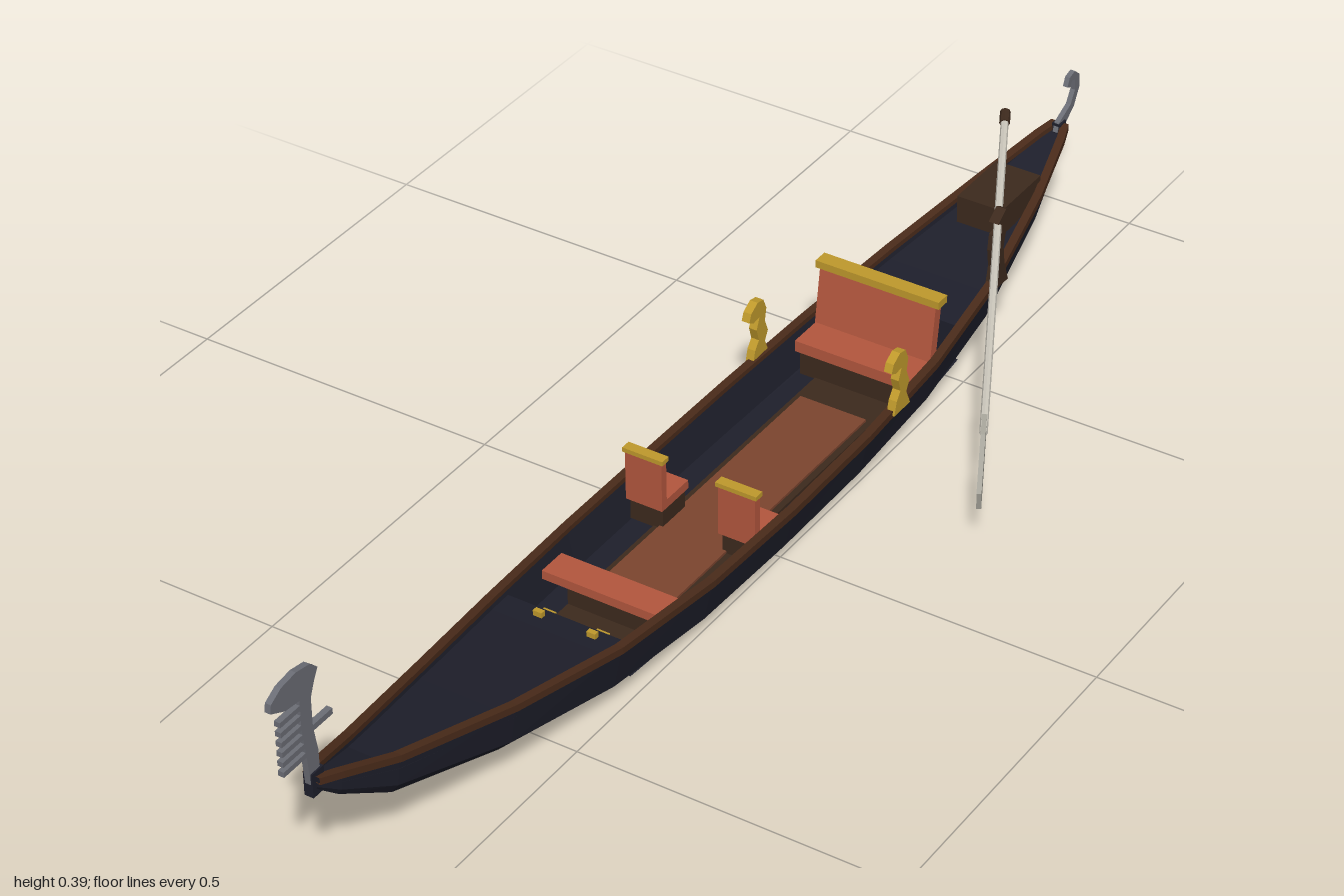
import * as THREE from 'three';

const mat = (name, color, double = false) => {
  const m = new THREE.MeshStandardMaterial({ color, flatShading: true });
  m.name = name;
  if (double) m.side = THREE.DoubleSide;
  return m;
};

// Hull stations: z, half width, gunwale height, bottom height
const STATIONS = [
  [-0.95, 0.012, 0.172, 0.155], [-0.92, 0.022, 0.166, 0.14], [-0.8, 0.052, 0.142, 0.085],
  [-0.6, 0.09, 0.113, 0.03], [-0.4, 0.112, 0.097, 0.007], [-0.2, 0.121, 0.091, 0],
  [0, 0.123, 0.09, 0], [0.2, 0.12, 0.094, 0.002], [0.4, 0.106, 0.107, 0.015],
  [0.6, 0.078, 0.135, 0.05], [0.8, 0.042, 0.175, 0.11], [0.89, 0.021, 0.203, 0.165],
  [0.925, 0.01, 0.211, 0.195],
];
const CX = -0.1, FLOOR = 0.028;

function station(z) {
  let i = 0;
  while (i < STATIONS.length - 2 && z > STATIONS[i + 1][0]) i++;
  const a = STATIONS[i], b = STATIONS[i + 1], t = (z - a[0]) / (b[0] - a[0]);
  const [w, g, k] = [1, 2, 3].map((j) => a[j] + (b[j] - a[j]) * t);
  return { w, g, k };
}

// Station positions between two ends
const zRange = (z0, z1) => [z0, ...STATIONS.map((s) => s[0]).filter((z) => z > z0 + 0.001 && z < z1 - 0.001), z1];

// Skin through cross-sections given by section(station) -> [[x, y], ...]
function loft(zs, section, closed = false) {
  const pos = [], index = [];
  let n = 0;
  zs.forEach((z) => {
    const pts = section(station(z));
    n = pts.length;
    pts.forEach(([x, y]) => pos.push(CX + x, y, z));
  });
  for (let i = 0; i < zs.length - 1; i++) {
    for (let j = 0; j < (closed ? n : n - 1); j++) {
      const a = i * n + j, b = i * n + ((j + 1) % n);
      index.push(a, b, a + n, b, b + n, a + n);
    }
  }
  const geo = new THREE.BufferGeometry();
  geo.setAttribute('position', new THREE.Float32BufferAttribute(pos, 3));
  geo.setIndex(index);
  geo.computeVertexNormals();
  return geo;
}

// Flat plate cut from a (z, y) outline, centred on x
function plate(points, thick, x = 0) {
  const shape = new THREE.Shape(points.map(([z, y]) => new THREE.Vector2(z, y)));
  const geo = new THREE.ExtrudeGeometry(shape, { depth: thick, bevelEnabled: false });
  return geo.rotateY(-Math.PI / 2).translate(x + thick / 2, 0, 0);
}

// Box from its limits
const box = (x0, x1, y0, y1, z0, z1) =>
  new THREE.BoxGeometry(x1 - x0, y1 - y0, z1 - z0).translate((x0 + x1) / 2, (y0 + y1) / 2, (z0 + z1) / 2);

export function createModel() {
  const model = new THREE.Group();
  model.name = 'rowingBoat';
  const navy = mat('hullNavy', 0x1e1f2b, true);
  const rail = mat('railBrown', 0x4a2b1a, true);
  const darkWood = mat('darkWood', 0x3d2a1d);
  const rug = mat('rugBrown', 0x7c452f);
  const coral = mat('coralUpholstery', 0xb4573e);
  const gold = mat('gold', 0xc09a2c);
  const steel = mat('steelGrey', 0x6c6e76);
  const pale = mat('paleWood', 0xc9c5ba);
  const blade = mat('bladeGrey', 0xaaa89e);
  const add = (name, geo, m, parent = model) => {
    const mesh = new THREE.Mesh(geo, m);
    mesh.name = name;
    parent.add(mesh);
    return mesh;
  };

  // Hull shell with flat bottom and chines
  const all = zRange(-0.95, 0.925);
  add('hull', loft(all, ({ w, g, k }) => {
    const c = k + 0.25 * (g - k);
    return [[-w, g], [-0.87 * w, c], [-0.6 * w, k], [0.6 * w, k], [0.87 * w, c], [w, g]];
  }), navy);
  for (const s of [-1, 1]) {
    add(s > 0 ? 'leftRail' : 'rightRail', loft(all, ({ w, g }) => {
      const a = s * Math.max(w - 0.01, 0.001), b = s * (w + 0.003);
      return [[a, g - 0.004], [a, g + 0.004], [b, g + 0.004], [b, g - 0.007]];
    }, true), rail);
  }

  // Cabin floor, end decks and bulkheads
  add('floor', loft(zRange(-0.51, 0.36), ({ w }) => [[-0.84 * w, FLOOR], [0.84 * w, FLOOR]]), navy);
  for (const [name, z0, z1, zb] of [['foredeck', 0.36, 0.92, 0.36], ['aftDeck', -0.945, -0.51, -0.51]]) {
    const drop = (g, k) => g - Math.min(0.02, 0.4 * (g - k));
    add(name, loft(zRange(z0, z1), ({ w, g, k }) => [[-0.96 * w, drop(g, k)], [0.96 * w, drop(g, k)]]), navy);
    const { w, g, k } = station(zb), y = drop(g, k);
    const shape = new THREE.Shape([[-0.8, FLOOR], [0.8, FLOOR], [0.96, y], [-0.96, y]]
      .map(([u, v]) => new THREE.Vector2(CX + u * w, v)));
    add(name + 'Bulkhead', new THREE.ShapeGeometry(shape).translate(0, 0, zb), navy);
  }
  for (const s of [-1, 1]) {
    const x = CX + s * 0.043;
    add('bulkheadHandle', box(x - 0.01, x + 0.01, 0.07, 0.078, 0.35, 0.36), gold);
    add('deckKnob', box(x - 0.007, x + 0.007, 0.084, 0.094, 0.372, 0.38), gold);
  }
  add('floorboards', box(-0.165, -0.035, FLOOR, 0.032, -0.505, 0.34), darkWood);
  add('rug', box(-0.155, -0.045, 0.032, 0.036, -0.3, 0.24), rug);

  // Rear sofa with leaning back
  const sofa = new THREE.Group();
  sofa.name = 'sofa';
  model.add(sofa);
  add('sofaBase', box(-0.19, -0.01, 0.03, 0.07, -0.425, -0.355), darkWood, sofa);
  add('sofaSeat', box(-0.196, -0.004, 0.07, 0.088, -0.42, -0.35), coral, sofa);
  add('sofaBack', plate([[-0.418, 0.06], [-0.402, 0.06], [-0.42, 0.178], [-0.436, 0.178]], 0.194, CX), coral, sofa);
  add('sofaTrim', box(-0.203, 0.003, 0.175, 0.187, -0.441, -0.417), gold, sofa);

  // Pair of side chairs facing aft
  for (const s of [-1, 1]) {
    const chair = new THREE.Group();
    chair.name = s > 0 ? 'leftChair' : 'rightChair';
    chair.position.x = CX + s * 0.076;
    model.add(chair);
    add('chairBase', box(-0.027, 0.027, 0.03, 0.066, 0.012, 0.068), darkWood, chair);
    add('chairSeat', box(-0.03, 0.03, 0.066, 0.08, 0.008, 0.07), coral, chair);
    add('chairBack', box(-0.03, 0.03, 0.066, 0.147, 0.062, 0.074), coral, chair);
    add('chairTrim', box(-0.033, 0.033, 0.146, 0.153, 0.06, 0.076), gold, chair);
  }

  // Forward bench
  add('bench', box(-0.2, 0, 0.066, 0.08, 0.24, 0.287), coral);
  add('benchSupport', box(-0.165, -0.035, 0.03, 0.066, 0.25, 0.278), darkWood);

  // Gilded horse figures on the rails
  const horse = [[-0.305, 0.09], [-0.262, 0.09], [-0.268, 0.112], [-0.278, 0.125], [-0.272, 0.145], [-0.28, 0.164],
    [-0.264, 0.162], [-0.253, 0.168], [-0.258, 0.181], [-0.275, 0.191], [-0.29, 0.188], [-0.298, 0.17],
    [-0.294, 0.15], [-0.302, 0.13], [-0.294, 0.115]];
  for (const s of [-1, 1]) add('horseFigure', plate(horse, 0.013, CX + s * 0.118), gold);

  // Bow iron: curved blade on a stem, six forward teeth and one aft
  add('bowPost', box(CX - 0.007, CX + 0.007, 0.185, 0.222, 0.908, 0.932), navy);
  add('bowIron', plate([[0.912, 0.205], [0.932, 0.205], [0.936, 0.25], [0.942, 0.3], [0.942, 0.345],
    [0.97, 0.348], [0.998, 0.362], [0.996, 0.375], [0.975, 0.387], [0.945, 0.391], [0.918, 0.386],
    [0.903, 0.372], [0.912, 0.355], [0.92, 0.335], [0.92, 0.29], [0.913, 0.25]], 0.009, CX), steel);
  for (let i = 0; i < 6; i++) {
    const y = 0.252 + i * 0.0155;
    add('bowTooth', box(CX - 0.0045, CX + 0.0045, y, y + 0.008, 0.93, 0.982), steel);
  }
  add('aftTooth', box(CX - 0.0045, CX + 0.0045, 0.283, 0.292, 0.88, 0.925), steel);

  // Curled stern iron
  add('sternIron', plate([[-0.935, 0.165], [-0.955, 0.165], [-0.985, 0.188], [-1, 0.215], [-0.998, 0.237],
    [-0.984, 0.249], [-0.968, 0.245], [-0.962, 0.231], [-0.97, 0.227], [-0.976, 0.236], [-0.984, 0.234],
    [-0.986, 0.215], [-0.974, 0.195], [-0.94, 0.18]], 0.008, CX), steel);
  add('sternPost', box(CX - 0.007, CX + 0.007, 0.152, 0.178, -0.956, -0.938), navy);

  // Rower's platform and carved oar rest
  add('rowerPlatform', box(-0.138, -0.062, 0.115, 0.16, -0.825, -0.71), darkWood);
  add('oarRest', plate([[-0.632, 0.105], [-0.592, 0.105], [-0.6, 0.14], [-0.596, 0.17], [-0.6, 0.195], [-0.612, 0.197],
    [-0.612, 0.21], [-0.598, 0.217], [-0.606, 0.222], [-0.62, 0.232], [-0.632, 0.225], [-0.624, 0.2],
    [-0.616, 0.17], [-0.62, 0.14]], 0.016, -0.013), darkWood);

  // Oar, built along local y from grip to blade tip
  const from = new THREE.Vector3(-0.117, 0.261, -0.81), to = new THREE.Vector3(0.222, 0.083, -0.16);
  const dir = to.clone().sub(from), len = dir.length();
  dir.normalize();
  const side = new THREE.Vector3().crossVectors(dir, new THREE.Vector3(0, 1, 0)).normalize();
  const oar = new THREE.Group();
  oar.name = 'oar';
  oar.quaternion.setFromRotationMatrix(
    new THREE.Matrix4().makeBasis(side, dir, new THREE.Vector3().crossVectors(side, dir)));
  oar.position.copy(from);
  model.add(oar);
  add('oarGrip', new THREE.CylinderGeometry(0.008, 0.008, 0.024, 8).translate(0, 0.012, 0), darkWood, oar);
  add('oarShaft', new THREE.CylinderGeometry(0.006, 0.006, 0.61, 8).translate(0, 0.325, 0), pale, oar);
  add('oarBlade', plate([[-0.006, 0.6], [0.006, 0.6], [0.015, 0.645], [0.016, len], [-0.016, len], [-0.015, 0.645]],
    0.007), blade, oar);

  return model;
}
